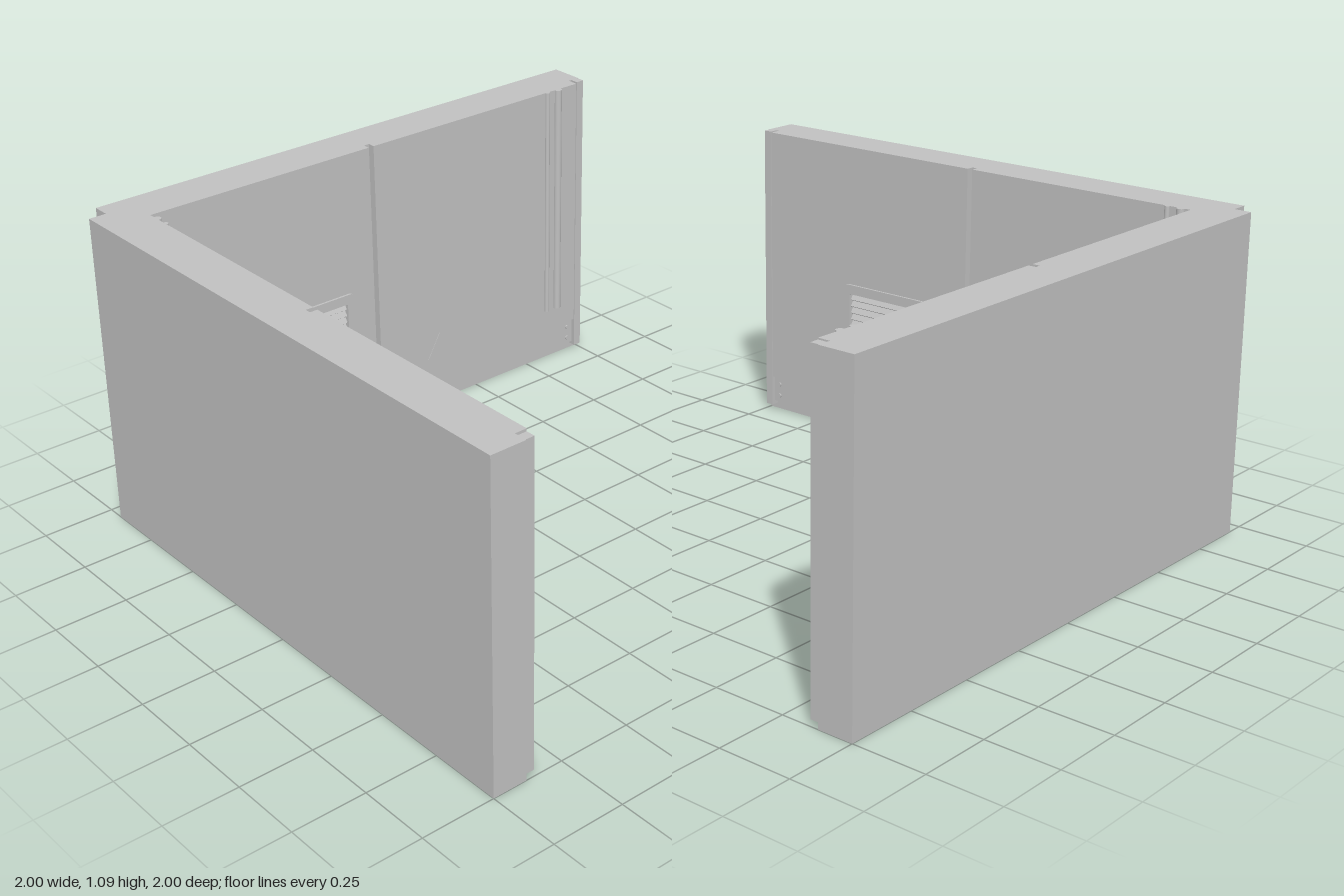
import * as THREE from 'three';

const grey = new THREE.MeshStandardMaterial({ color: 0xc0c0c0 });
grey.name = 'light grey';

const TOP = 1.09;

function add(group, name, geometry, x = 0, y = 0, z = 0) {
  const mesh = new THREE.Mesh(geometry, grey);
  mesh.name = name;
  mesh.position.set(x, y, z);
  group.add(mesh);
  return mesh;
}

// Box given by its limits on each axis
function block(group, name, x0, x1, y0, y1, z0, z1) {
  return add(group, name, new THREE.BoxGeometry(x1 - x0, y1 - y0, z1 - z0),
    (x0 + x1) / 2, (y0 + y1) / 2, (z0 + z1) / 2);
}

// Draws a rounded rectangle on a Shape or Path
function roundRect(path, x0, x1, y0, y1, r) {
  path.moveTo(x0 + r, y0);
  path.lineTo(x1 - r, y0);
  path.quadraticCurveTo(x1, y0, x1, y0 + r);
  path.lineTo(x1, y1 - r);
  path.quadraticCurveTo(x1, y1, x1 - r, y1);
  path.lineTo(x0 + r, y1);
  path.quadraticCurveTo(x0, y1, x0, y1 - r);
  path.lineTo(x0, y0 + r);
  path.quadraticCurveTo(x0, y0, x0 + r, y0);
  return path;
}

function extrude(shape, depth) {
  return new THREE.ExtrudeGeometry(shape, { depth, bevelEnabled: false, curveSegments: 5 });
}

function makeVent() {
  const vent = new THREE.Group();
  vent.name = 'vent';
  const frame = roundRect(new THREE.Shape(), 0.105, 0.565, 0.33, 0.58, 0.02);
  frame.holes.push(roundRect(new THREE.Path(), 0.135, 0.535, 0.365, 0.545, 0.004));
  add(vent, 'ventFrame', extrude(frame, 0.03), 0, 0, 0.832);
  // Sloping slats across the opening
  for (let i = 0; i < 7; i++) {
    const slat = add(vent, 'ventSlat', new THREE.BoxGeometry(0.4, 0.022, 0.006),
      0.335, 0.38 + i * 0.025, 0.848);
    slat.rotation.x = 0.6;
  }
  return vent;
}

// One wall: length along x, outer face at z = 1, lining on the -z side
function makeWall(name) {
  const wall = new THREE.Group();
  wall.name = name;
  block(wall, 'wallSlab', -0.97, 0.97, 0, TOP, 0.88, 1);

  // Two lining panels with a narrow seam between them
  block(wall, 'liningPanel', -0.925, -0.005, 0.14, TOP, 0.84, 0.88);
  const panel = roundRect(new THREE.Shape(), 0.015, 0.925, 0.14, TOP, 0.0005);
  panel.holes.push(roundRect(new THREE.Path(), 0.13, 0.54, 0.36, 0.55, 0.004));
  add(wall, 'ventedPanel', extrude(panel, 0.04), 0, 0, 0.84);
  block(wall, 'seamStrip', -0.005, 0.015, 0.14, TOP, 0.866, 0.88);
  wall.add(makeVent());

  // Skirting and end flanges
  block(wall, 'skirting', -0.925, 0.925, 0.04, 0.138, 0.852, 0.88);
  for (const s of [-1, 1]) {
    const x = s * 0.952;
    block(wall, 'endFlange', x - 0.015, x + 0.015, 0.02, TOP, 0.85, 0.88);
    for (const y of [0.065, 0.11]) {
      const bolt = add(wall, 'skirtingBolt', new THREE.CylinderGeometry(0.008, 0.008, 0.006, 12),
        s * 0.9, y, 0.85);
      bolt.rotation.x = Math.PI / 2;
    }
  }

  // Vertical pipes standing half proud of the lining
  for (const [x, r] of [[-0.835, 0.014], [-0.785, 0.009]]) {
    add(wall, 'pipe', new THREE.CylinderGeometry(r, r, TOP - 0.22, 16), x, (TOP + 0.22) / 2, 0.838);
  }

  // Thin triangular plate
  const triangle = new THREE.Shape([
    new THREE.Vector2(-0.325, 0.205), new THREE.Vector2(-0.215, 0.205), new THREE.Vector2(-0.27, 0.3),
  ]);
  add(wall, 'trianglePlate', extrude(triangle, 0.004), 0, 0, 0.838);
  return wall;
}

export function createModel() {
  const model = new THREE.Group();
  model.name = 'cornerWalls';
  const front = makeWall('frontWall');
  front.position.x = 0.03;
  const side = makeWall('sideWall');
  side.rotation.y = -Math.PI / 2;
  side.position.z = -0.03;
  model.add(front, side);
  return model;
}
